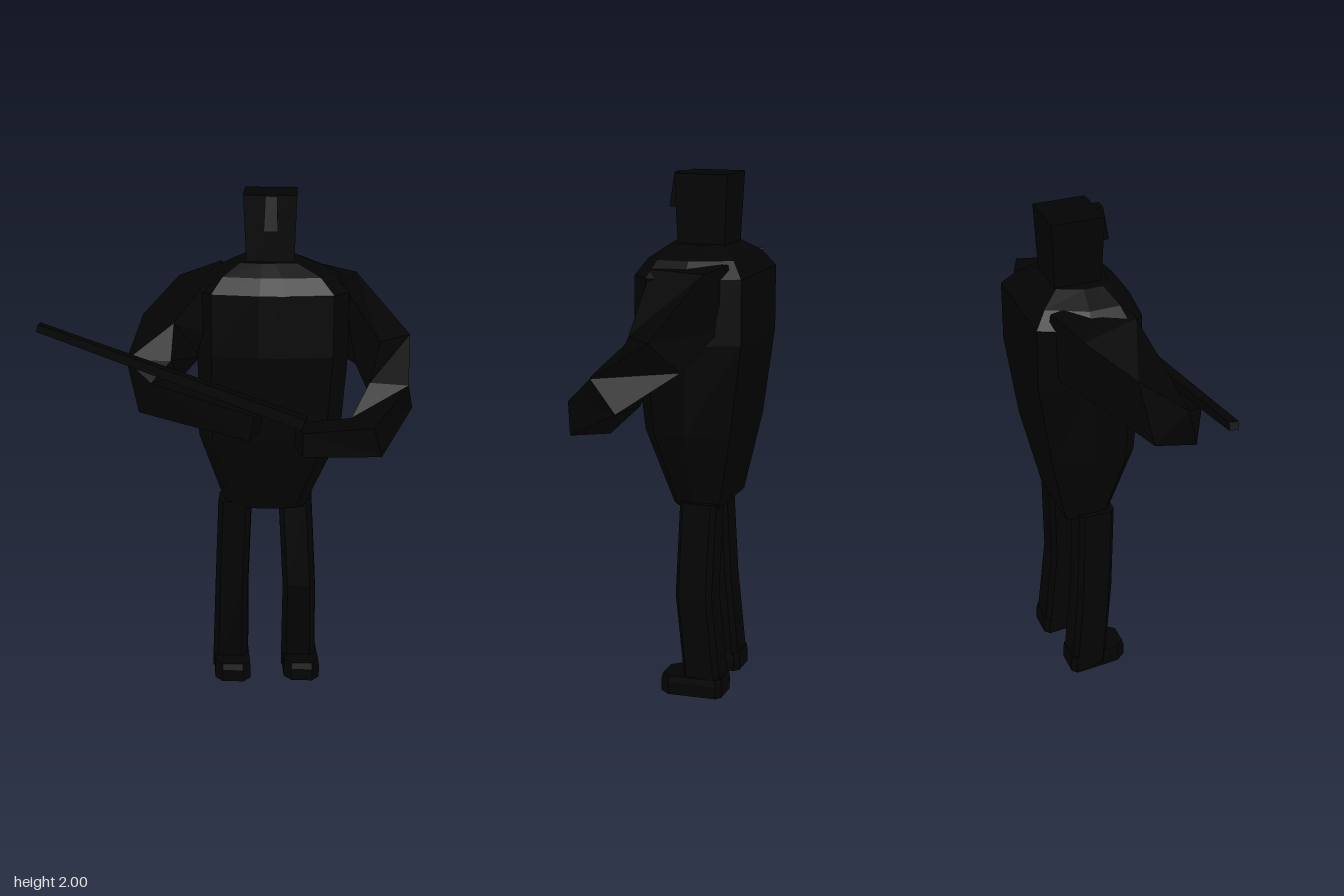
import * as THREE from 'three';

const TURN = 0.38; // the body is turned slightly towards its left
const C = Math.cos(TURN), S = Math.sin(TURN);

// Skin a list of closed rings and cap both ends
function loft(rings) {
  const pos = [], index = [], n = rings[0].length;
  rings.forEach(r => r.forEach(p => pos.push(p.x, p.y, p.z)));
  for (let k = 0; k < rings.length - 1; k++) {
    for (let i = 0; i < n; i++) {
      const a = k * n + i, b = k * n + (i + 1) % n;
      index.push(a, a + n, b, b, a + n, b + n);
    }
  }
  const top = (rings.length - 1) * n;
  for (let i = 1; i < n - 1; i++) {
    index.push(0, i, i + 1, top, top + i + 1, top + i);
  }
  const g = new THREE.BufferGeometry();
  g.setAttribute('position', new THREE.Float32BufferAttribute(pos, 3));
  g.setIndex(index);
  const flat = g.toNonIndexed();
  flat.computeVertexNormals();
  return flat;
}

// Horizontal ring in the turned body frame: u = sideways, v = forwards
function ring(cx, y, cz, outline, su = 1, sv = su) {
  return outline.map(([u, v]) => new THREE.Vector3(
    cx + u * su * C + v * sv * S, y, cz - u * su * S + v * sv * C));
}

// Complete an outline given for the +u side only, from back to front
const mirrored = half => [...half, ...half.map(([u, v]) => [-u, v]).reverse()];

const SQUARE = mirrored([[1, -1], [1, 1]]);

// Box-section limb along a path of [x, y, z, half width, half height]
function limb(path) {
  const pts = path.map(p => new THREE.Vector3(p[0], p[1], p[2]));
  const up = new THREE.Vector3(0, 1, 0);
  return loft(pts.map((c, k) => {
    const t = new THREE.Vector3();
    if (k > 0) t.add(c.clone().sub(pts[k - 1]).normalize());
    if (k < pts.length - 1) t.add(pts[k + 1].clone().sub(c).normalize());
    t.normalize();
    const p = up.clone().cross(t).normalize();
    const q = p.clone().cross(t);
    return SQUARE.map(([a, b]) => c.clone()
      .addScaledVector(p, a * path[k][3]).addScaledVector(q, b * path[k][4]));
  }));
}

export function createModel() {
  const model = new THREE.Group();
  model.name = 'standingFigure';
  const black = new THREE.MeshStandardMaterial({ color: 0x030303 });
  black.name = 'black';
  const add = (name, geometry) => {
    const m = new THREE.Mesh(geometry, black);
    m.name = name;
    model.add(m);
  };

  // Torso: barrel with a flat back and slightly pointed belly, boxier at the hips
  const trunk = mirrored([[0.205, -0.205], [0.295, -0.02], [0.29, 0.13], [0.232, 0.197], [0.05, 0.222]]);
  const hips = mirrored([[0.15, -0.1], [0.16, 0], [0.155, 0.06], [0.12, 0.09], [0.03, 0.1]]);
  add('torso', loft([
    ring(0.05, 0.75, -0.15, hips),
    ring(0.065, 1.06, -0.155, trunk, 0.95, 0.81),
    ring(0.073, 1.4, -0.165, trunk, 1),
    ring(0.073, 1.64, -0.165, trunk, 1),
    ring(0.07, 1.7, -0.16, trunk, 0.8),
    ring(0.06, 1.745, -0.15, trunk, 0.46, 0.5),
  ]));

  // Head: square block widening a little upwards, with a wedge nose
  add('head', loft([
    ring(0.06, 1.7, -0.165, SQUARE, 0.09),
    ring(0.058, 2, -0.165, SQUARE, 0.102),
  ]));
  add('nose', loft([
    ring(0.105, 1.87, -0.058, SQUARE, 0.027, 0.032),
    ring(0.102, 2, -0.068, SQUARE, 0.022, 0.022),
  ]));

  // Legs and feet; heels are flush with the ankles, toes turn a little to the left
  const leg = mirrored([[0.045, -0.073], [0.066, -0.055], [0.066, 0.055], [0.045, 0.073]]);
  const foot = [[0.05, -0.076], [0.072, -0.058], [0.088, 0.13], [0.06, 0.168], [-0.025, 0.168],
    [-0.058, 0.13], [-0.072, -0.058], [-0.05, -0.076]];
  const legs = {
    right: { hip: [-0.055, -0.085], knee: [-0.074, -0.095], ankle: [-0.095, -0.125] },
    left: { hip: [0.152, -0.215], knee: [0.175, -0.212], ankle: [0.16, -0.25] },
  };
  for (const [side, { hip, knee, ankle }] of Object.entries(legs)) {
    add(side + 'Leg', loft([
      ring(ankle[0], 0.02, ankle[1], leg, 1.08, 1),
      ring(knee[0], 0.4, knee[1], leg),
      ring(hip[0], 0.77, hip[1], leg),
    ]));
    add(side + 'Foot', loft([
      ring(ankle[0], 0, ankle[1], foot),
      ring(ankle[0], 0.05, ankle[1], foot),
      ring(ankle[0], 0.075, ankle[1], foot, 0.96),
    ]));
  }

  // Left arm swings out and bends back to the lower end of the stick
  add('leftArm', limb([
    [0.2, 1.57, -0.25, 0.13, 0.12], [0.3, 1.56, -0.26, 0.115, 0.12],
    [0.485, 1.395, -0.285, 0.085, 0.085], [0.565, 1.25, -0.165, 0.075, 0.08],
    [0.53, 1.125, 0.005, 0.075, 0.063], [0.315, 1.13, 0.155, 0.068, 0.047],
  ]));
  // Right arm reaches forwards and crosses in front of the belly
  add('rightArm', limb([
    [-0.07, 1.575, -0.12, 0.15, 0.13], [-0.18, 1.545, -0.045, 0.13, 0.12],
    [-0.255, 1.455, 0.07, 0.095, 0.1], [-0.285, 1.335, 0.185, 0.085, 0.09],
    [-0.225, 1.27, 0.24, 0.08, 0.07], [0.165, 1.185, 0.205, 0.06, 0.05],
  ]));

  // Long thin stick held across the body
  add('stick', limb([[0.34, 1.2, 0.16, 0.026, 0.022], [-0.645, 1.525, 0.41, 0.017, 0.015]]));

  return model;
}
